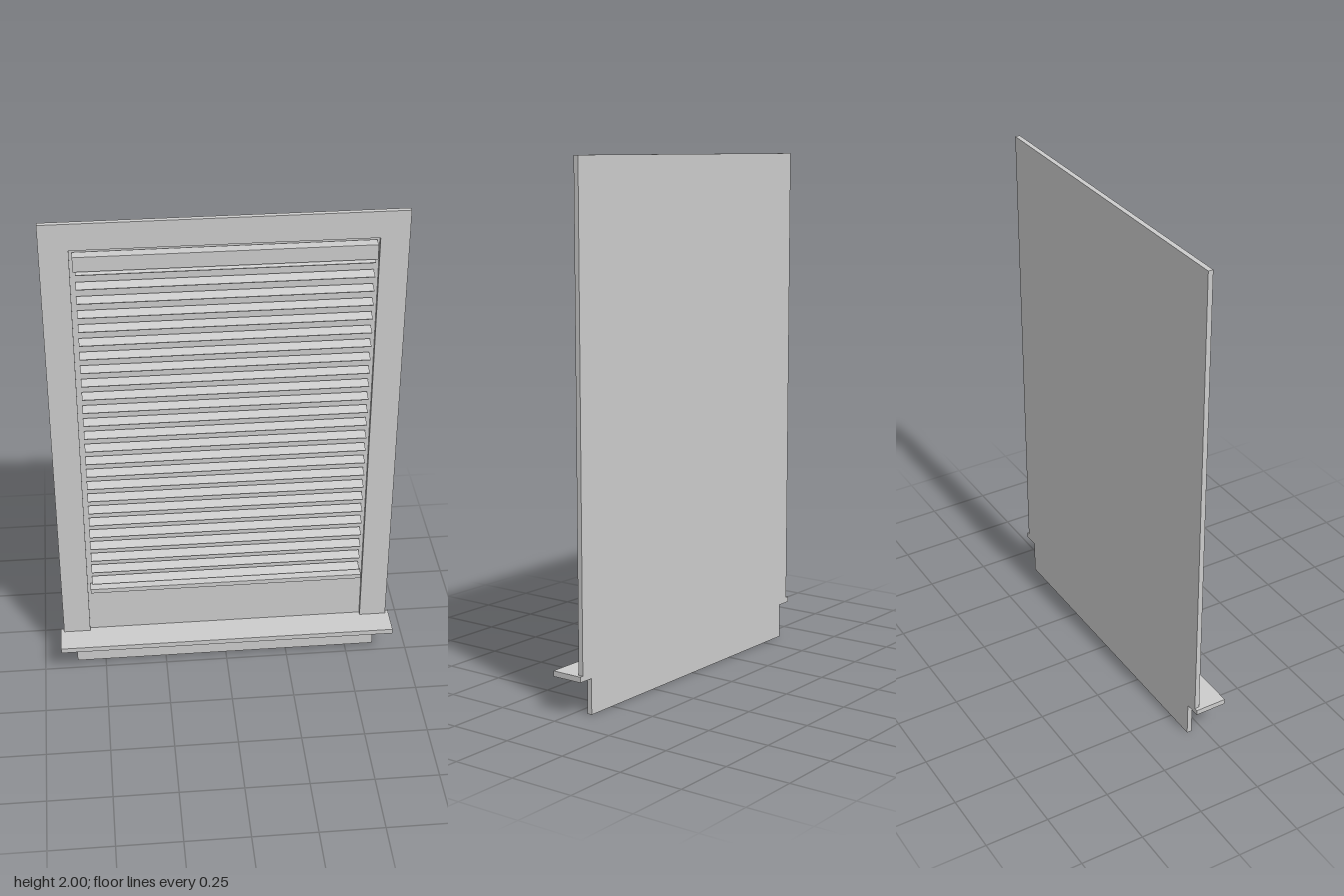
import * as THREE from 'three';

const material = new THREE.MeshStandardMaterial({ color: 0xcccccc });

// Box given by its half width and its y and z ranges, centred on x = 0
function addBar(parent, name, halfW, y0, y1, z0, z1) {
  const mesh = new THREE.Mesh(new THREE.BoxGeometry(2 * halfW, y1 - y0, z1 - z0), material);
  mesh.name = name;
  mesh.position.set(0, (y0 + y1) / 2, (z0 + z1) / 2);
  parent.add(mesh);
  return mesh;
}

export function createModel() {
  const model = new THREE.Group();
  model.name = 'windowWithBlind';
  const back = -0.0635, face = -0.044, sillTop = 0.157, sillBottom = 0.136;

  // Casing: an upside-down U around the opening
  const outer = 0.665, inner = 0.558, openTop = 1.896;
  const shape = new THREE.Shape([
    [-outer, sillTop], [-inner, sillTop], [-inner, openTop], [inner, openTop],
    [inner, sillTop], [outer, sillTop], [outer, 2], [-outer, 2],
  ].map(([x, y]) => new THREE.Vector2(x, y)));
  const casing = new THREE.Mesh(
    new THREE.ExtrudeGeometry(shape, { depth: face - back, bevelEnabled: false }), material);
  casing.name = 'casing';
  casing.position.z = back;
  model.add(casing);

  // Recessed pane, projecting sill and apron below it
  addBar(model, 'pane', inner, sillTop, openTop, back, back + 0.003);
  addBar(model, 'sill', 0.679, sillBottom, sillTop, back, -back);
  addBar(model, 'apron', 0.617, 0, sillBottom, back, face);

  // Blind: head rail, tilted slats and bottom rail
  const blind = new THREE.Group();
  blind.name = 'blind';
  model.add(blind);
  addBar(blind, 'headRail', 0.547, 1.827, 1.885, -0.054, -0.0125);
  const slatCount = 25, pitch = 0.058, lowest = 0.428;
  for (let i = 0; i < slatCount; i++) {
    const y = lowest + i * pitch;
    const slat = addBar(blind, 'slat', 0.539, y - 0.0015, y + 0.0015, -0.05, -0.0075);
    slat.rotation.x = 0.22;
  }
  addBar(blind, 'bottomRail', 0.547, 0.379, 0.398, -0.05, -0.0075);

  return model;
}
